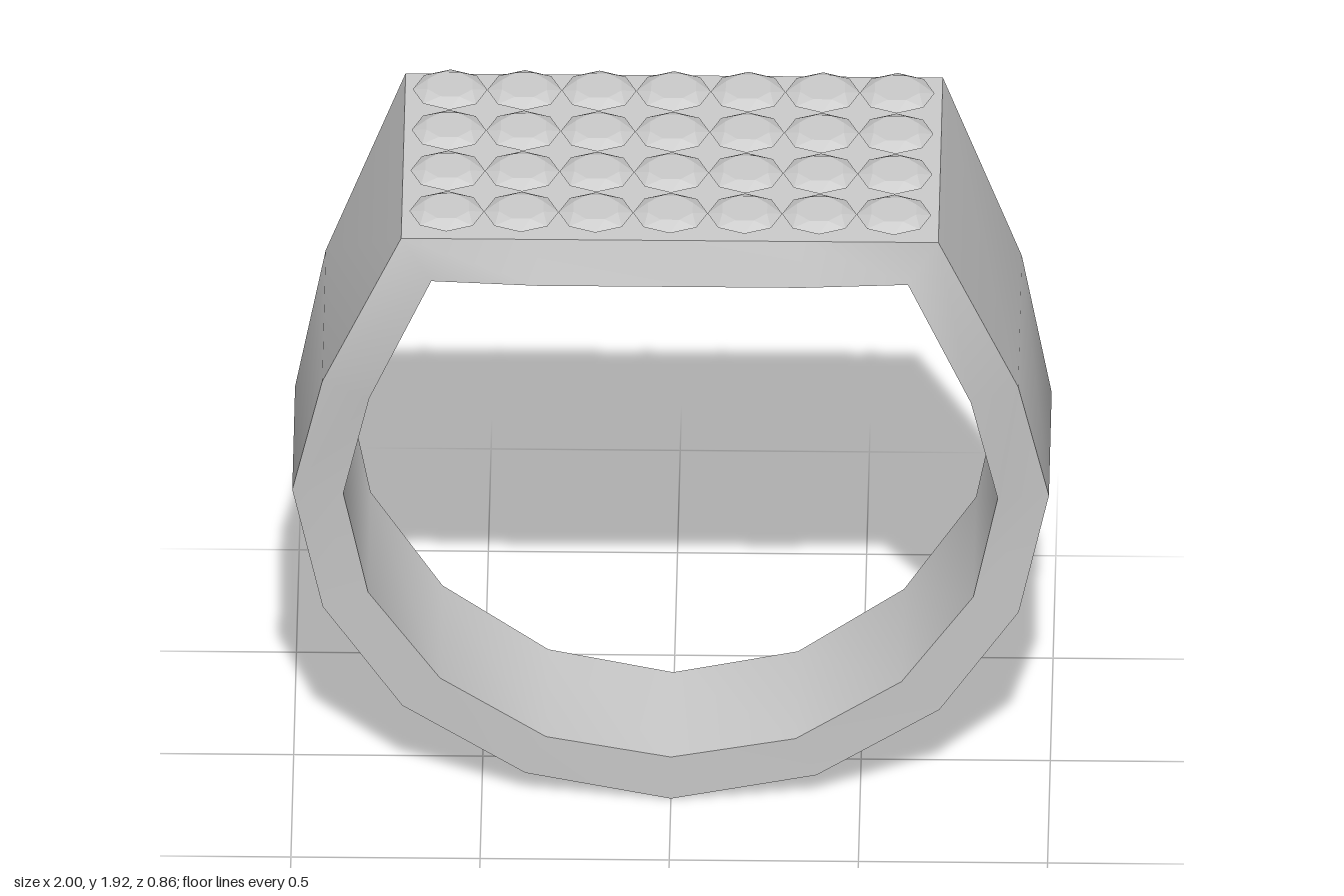
import * as THREE from 'three';
import { toCreasedNormals } from 'three/addons/utils/BufferGeometryUtils.js';
import { ConvexGeometry } from 'three/addons/geometries/ConvexGeometry.js';

const metal = new THREE.MeshStandardMaterial({ color: 0xcccccc });
const stone = new THREE.MeshStandardMaterial({ color: 0xcccccc, flatShading: true });

// Half of the band, bottom to top: outer x, y, half depth, then inner x, y, half depth
const HALF = [
  [0, 0.005, 0.2, 0, 0.14, 0.207],
  [0.385, 0.085, 0.204, 0.33, 0.205, 0.213],
  [0.71, 0.3, 0.214, 0.61, 0.395, 0.226],
  [0.92, 0.62, 0.231, 0.8, 0.675, 0.244],
  [1, 1, 0.252, 0.865, 1, 0.268],
  [0.92, 1.385, 0.321, 0.795, 1.345, 0.338],
  [0.71, 1.89, 0.403, 0.63, 1.775, 0.432],
  [0.35, 1.89, 0.403, 0.35, 1.763, 0.432],
];

// Closed loop of four-cornered cross-sections, widening towards the flat top
function bandGeometry() {
  const mirrored = HALF.slice(1).reverse().map(([a, b, c, d, e, f]) => [-a, b, c, -d, e, f]);
  const stations = [...HALF, ...mirrored];
  const positions = [];
  const index = [];
  for (const [ox, oy, oz, ix, iy, iz] of stations) {
    positions.push(ox, oy, oz, ox, oy, -oz, ix, iy, -iz, ix, iy, iz);
  }
  const n = stations.length;
  for (let i = 0; i < n; i++) {
    const a = i * 4;
    const b = ((i + 1) % n) * 4;
    for (let k = 0; k < 4; k++) {
      const m = (k + 1) % 4;
      index.push(a + k, a + m, b + m, a + k, b + m, b + k);
    }
  }
  const g = new THREE.BufferGeometry();
  g.setAttribute('position', new THREE.Float32BufferAttribute(positions, 3));
  g.setIndex(index);
  return toCreasedNormals(g, 0.6);
}

// Eight-sided cut stone: table, girdle and a point sunk into the plate
function gemGeometry() {
  const points = [new THREE.Vector3(0, -0.034, 0)];
  for (let i = 0; i < 8; i++) {
    const a = (i * Math.PI) / 4;
    const t = a + Math.PI / 8;
    points.push(new THREE.Vector3(0.0985 * Math.cos(a), 0, 0.0985 * Math.sin(a)));
    points.push(new THREE.Vector3(0.064 * Math.cos(t), 0.017, 0.064 * Math.sin(t)));
  }
  return new ConvexGeometry(points);
}

export function createModel() {
  const ring = new THREE.Group();
  ring.name = 'ring';

  const band = new THREE.Mesh(bandGeometry(), metal);
  band.name = 'band';
  ring.add(band);

  // Seven by four grid of stones on the flat top
  const gems = new THREE.Group();
  gems.name = 'gems';
  const gem = gemGeometry();
  for (let row = 0; row < 4; row++) {
    for (let col = 0; col < 7; col++) {
      const mesh = new THREE.Mesh(gem, stone);
      mesh.name = 'gem';
      mesh.position.set((col - 3) * 0.197, 1.908, (row - 1.5) * 0.198);
      gems.add(mesh);
    }
  }
  ring.add(gems);
  return ring;
}
